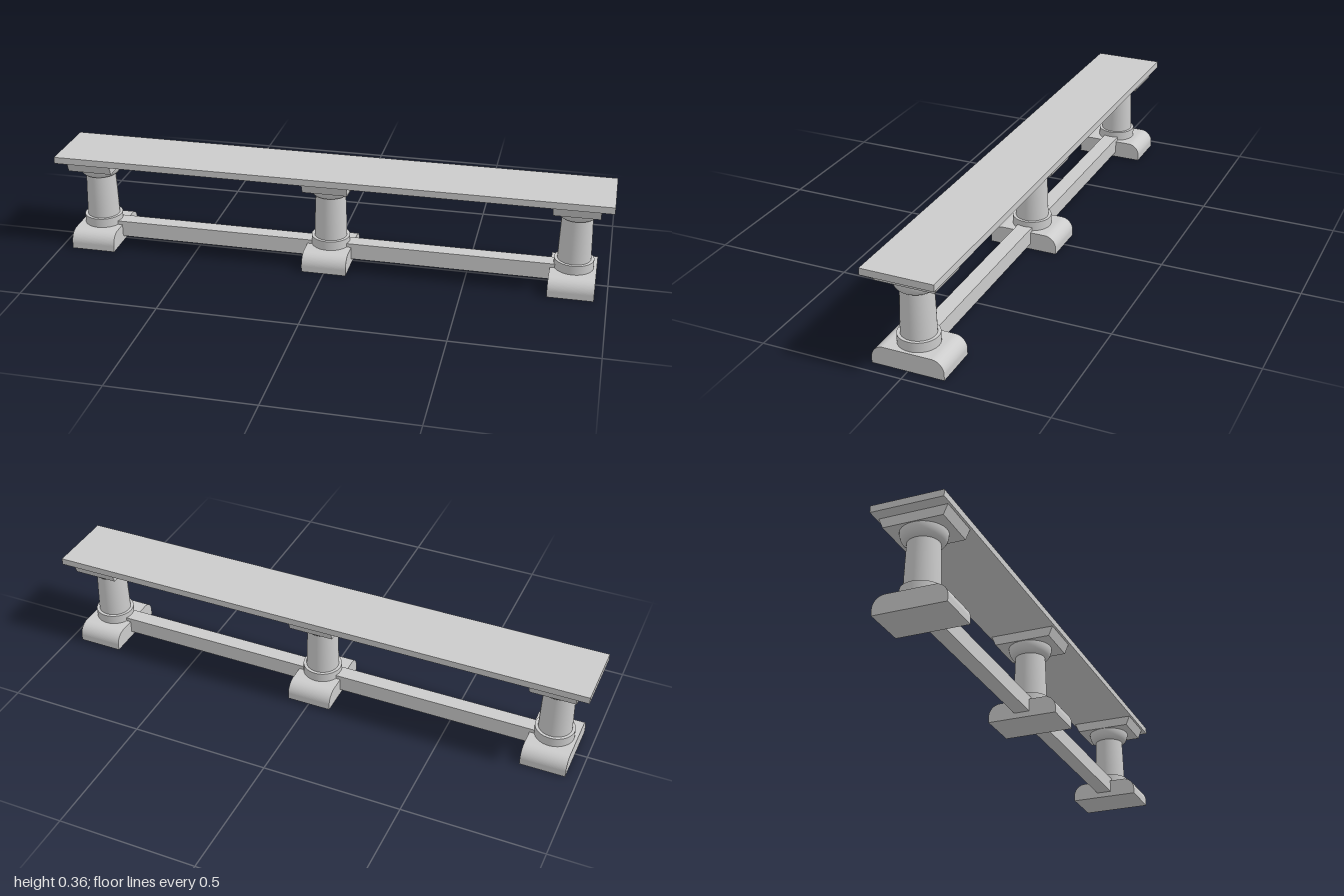
import * as THREE from 'three';

const material = new THREE.MeshStandardMaterial({ color: 0xcccccc });
const LEG_X = 0.875, LEG_WIDTH = 0.162;

function mesh(name, geometry, parent, x = 0, y = 0, z = 0) {
  const m = new THREE.Mesh(geometry, material);
  m.name = name;
  m.position.set(x, y, z);
  parent.add(m);
  return m;
}

// Profile drawn in (z, y), extruded across the width of a leg
function acrossLeg(shape) {
  const g = new THREE.ExtrudeGeometry(shape, { depth: LEG_WIDTH, bevelEnabled: false, curveSegments: 12 });
  g.translate(0, 0, -LEG_WIDTH / 2);
  return g.rotateY(Math.PI / 2);
}

function lathe(points) {
  return new THREE.LatheGeometry(points.map(([r, y]) => new THREE.Vector2(r, y)), 40);
}

function createLeg() {
  const leg = new THREE.Group();

  // Foot block with rounded front and back shoulders
  const h = 0.066, d = 0.127, r = 0.044;
  const foot = new THREE.Shape();
  foot.moveTo(-d, 0);
  foot.lineTo(d, 0);
  foot.lineTo(d, h - r);
  foot.absarc(d - r, h - r, r, 0, Math.PI / 2, false);
  foot.lineTo(-d + r, h);
  foot.absarc(-d + r, h - r, r, Math.PI / 2, Math.PI, false);
  mesh('foot', acrossLeg(foot), leg);

  // Collar and slightly tapered column
  mesh('collar', new THREE.CylinderGeometry(0.07, 0.07, 0.034, 40), leg, 0, 0.083);
  mesh('column', lathe([[0.059, 0.098], [0.058, 0.15], [0.0565, 0.2], [0.054, 0.265]]), leg);

  // Bowl-shaped capital
  const bowl = [[0, 0.262], [0.052, 0.262], [0.052, 0.262]];
  for (let i = 1; i <= 10; i++) {
    const a = (i / 10) * Math.PI / 2;
    bowl.push([0.052 + 0.026 * Math.sin(a), 0.302 - 0.04 * Math.cos(a)]);
  }
  mesh('capital', lathe(bowl), leg);

  // Bracket with sloping front and back
  const bracket = new THREE.Shape([[-0.104, 0.302], [0.104, 0.302], [0.119, 0.338], [-0.119, 0.338]]
    .map(([z, y]) => new THREE.Vector2(z, y)));
  mesh('bracket', acrossLeg(bracket), leg);
  return leg;
}

export function createModel() {
  const bench = new THREE.Group();
  bench.name = 'bench';

  mesh('seat', new THREE.BoxGeometry(2, 0.024, 0.253), bench, 0, 0.349);

  [['rightLeg', -LEG_X], ['middleLeg', 0], ['leftLeg', LEG_X]].forEach(([name, x]) => {
    const leg = createLeg();
    leg.name = name;
    leg.position.x = x;
    bench.add(leg);
  });

  // Stretchers joining neighbouring legs
  for (const s of [-1, 1]) {
    mesh(s < 0 ? 'rightStretcher' : 'leftStretcher',
      new THREE.BoxGeometry(LEG_X - 0.08, 0.06, 0.056), bench, s * LEG_X / 2, 0.05);
  }
  return bench;
}
